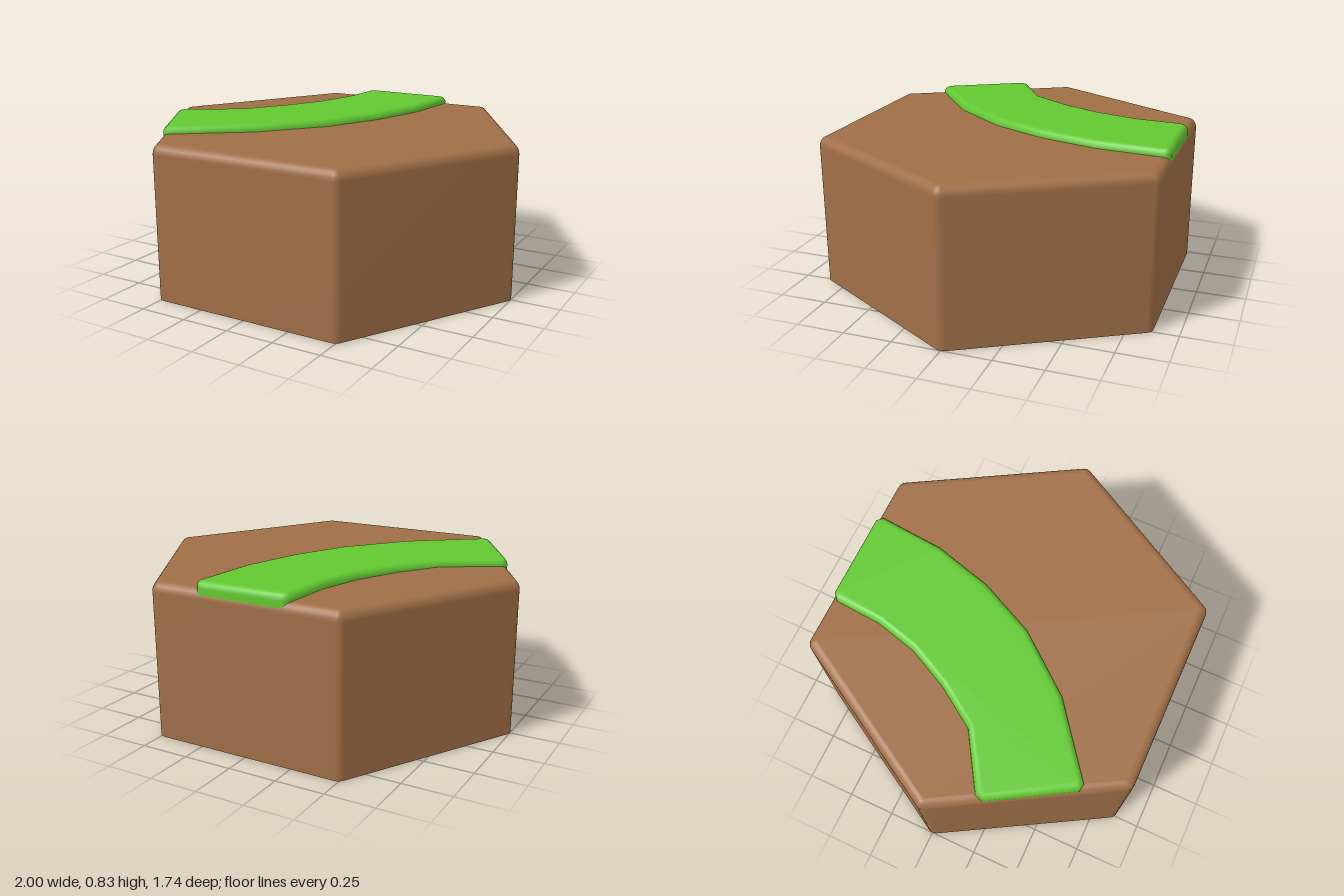
import * as THREE from 'three';

// Shrinks a counter-clockwise outline by a constant distance (mitred corners)
function inset(points, d) {
  const n = points.length;
  return points.map((p, i) => {
    const a = p.clone().sub(points[(i + n - 1) % n]).normalize();
    const b = points[(i + 1) % n].clone().sub(p).normalize();
    const k = d / (1 + a.dot(b));
    return new THREE.Vector2(p.x - (a.y + b.y) * k, p.y + (a.x + b.x) * k);
  });
}

// Cuts the sharp corners of an outline
function softenCorners(points, r) {
  const n = points.length;
  return points.flatMap((p, i) => {
    const a = points[(i + n - 1) % n].clone().sub(p).normalize();
    const b = points[(i + 1) % n].clone().sub(p).normalize();
    if (a.dot(b) < -0.6) return [p];
    return [p.clone().addScaledVector(a, r), p.clone().addScaledVector(b, r)];
  });
}

// Solid from an outline in (x, -z), stacked as rings of [inset, height];
// the top blends into the bevel, the underside keeps a sharp edge
function bevelledSolid(outline, rings) {
  const n = outline.length;
  const pos = [], index = [];
  const addRing = ([d, y]) => inset(outline, d).forEach(p => pos.push(p.x, y, -p.y));
  rings.forEach(addRing);
  for (let r = 0; r < rings.length - 1; r++) {
    for (let i = 0; i < n; i++) {
      const a = r * n + i, b = r * n + (i + 1) % n;
      index.push(a, b, b + n, a, b + n, a + n);
    }
  }
  const top = (rings.length - 1) * n, bottom = rings.length * n;
  addRing(rings[0]);
  THREE.ShapeUtils.triangulateShape(inset(outline, rings[rings.length - 1][0]), [])
    .forEach(([a, b, c]) => index.push(top + a, top + b, top + c));
  THREE.ShapeUtils.triangulateShape(outline.map(p => p.clone()), [])
    .forEach(([a, b, c]) => index.push(bottom + a, bottom + c, bottom + b));
  const geometry = new THREE.BufferGeometry();
  geometry.setAttribute('position', new THREE.Float32BufferAttribute(pos, 3));
  geometry.setIndex(index);
  geometry.computeVertexNormals();
  return geometry;
}

// Quarter-round edge ending at height top
function roundEdge(top, width, height, steps) {
  return Array.from({ length: steps + 1 }, (_, i) => {
    const t = (i / steps) * Math.PI / 2;
    return [width * (1 - Math.cos(t)), top - height * (1 - Math.sin(t))];
  });
}

export function createModel() {
  const group = new THREE.Group();
  const earth = new THREE.MeshStandardMaterial({ color: 0xa06f47 });
  earth.name = 'earthBrown';
  const grass = new THREE.MeshStandardMaterial({ color: 0x62c831 });
  grass.name = 'grassGreen';

  // Hexagonal block with rounded corners
  const apothem = 0.872, radius = 0.045;
  const hexagon = [];
  for (let k = 0; k < 6; k++) {
    const angle = k * Math.PI / 3, reach = (apothem - radius) / Math.cos(Math.PI / 6);
    for (let s = 0; s <= 4; s++) {
      const t = angle + (s / 4 - 0.5) * Math.PI / 3;
      hexagon.push(new THREE.Vector2(
        reach * Math.cos(angle) + radius * Math.cos(t),
        reach * Math.sin(angle) + radius * Math.sin(t)));
    }
  }
  const block = new THREE.Mesh(
    bevelledSolid(hexagon, [[0, 0], ...roundEdge(0.79, 0.042, 0.05, 5)]), earth);
  block.name = 'hexBlock';

  // Curved path from the back edge to the front right edge, as [x, z]
  const innerSide = [[-0.247, -0.868], [-0.267, -0.594], [-0.326, -0.37],
    [-0.43, -0.16], [-0.567, 0.045], [-0.868, 0.23]];
  const outerSide = [[-0.607, 0.672], [-0.235, 0.39], [0.005, 0.096],
    [0.144, -0.193], [0.23, -0.497], [0.264, -0.868]];
  const pathOutline = softenCorners(
    [...innerSide, ...outerSide].map(([x, z]) => new THREE.Vector2(x, -z)), 0.03);
  const path = new THREE.Mesh(
    bevelledSolid(pathOutline, [[0, 0.745], ...roundEdge(0.828, 0.032, 0.035, 4)]), grass);
  path.name = 'curvedPath';

  group.add(block, path);
  return group;
}
